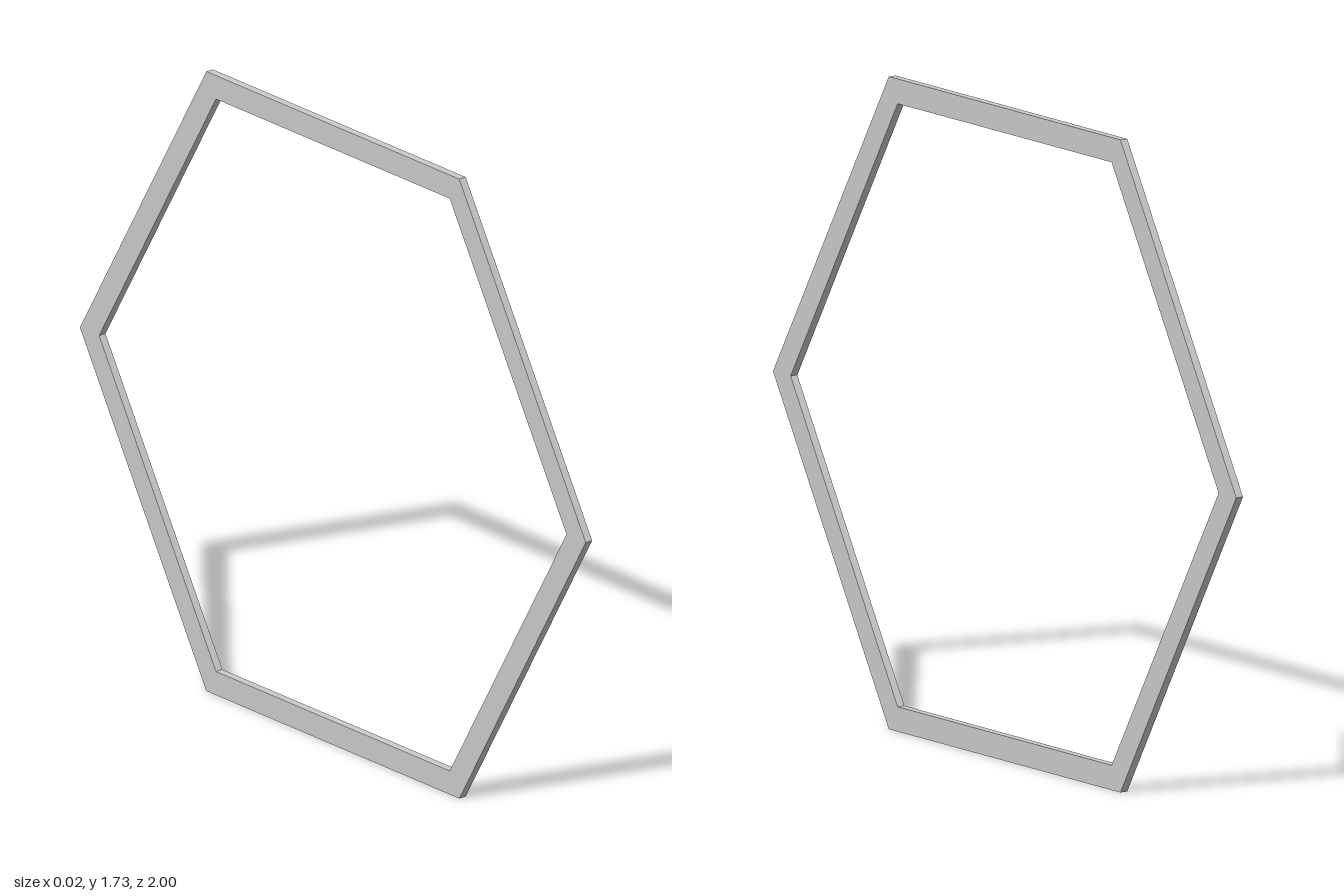
import * as THREE from 'three';

const OUTER = 1, INNER = 0.924, DEPTH = 0.022;

// Corners of a regular hexagon with flat top and bottom edges
function hexagon(radius) {
  return Array.from({ length: 6 }, (_, i) => {
    const a = (i * Math.PI) / 3;
    return new THREE.Vector2(Math.cos(a) * radius, Math.sin(a) * radius);
  });
}

export function createModel() {
  const group = new THREE.Group();
  group.name = 'hexagonalFrame';

  // Thin hexagonal ring, extruded through its thickness
  const shape = new THREE.Shape(hexagon(OUTER));
  shape.holes.push(new THREE.Path(hexagon(INNER)));
  const geometry = new THREE.ExtrudeGeometry(shape, { depth: DEPTH, bevelEnabled: false });

  // Centre the thickness, turn the ring to face sideways and stand it on the ground
  geometry.translate(0, 0, -DEPTH / 2);
  geometry.rotateY(Math.PI / 2);
  geometry.translate(0, OUTER * Math.sin(Math.PI / 3), 0);

  const frame = new THREE.Mesh(
    geometry,
    new THREE.MeshStandardMaterial({ color: 0xcccccc, flatShading: true })
  );
  frame.name = 'frame';
  group.add(frame);
  return group;
}
